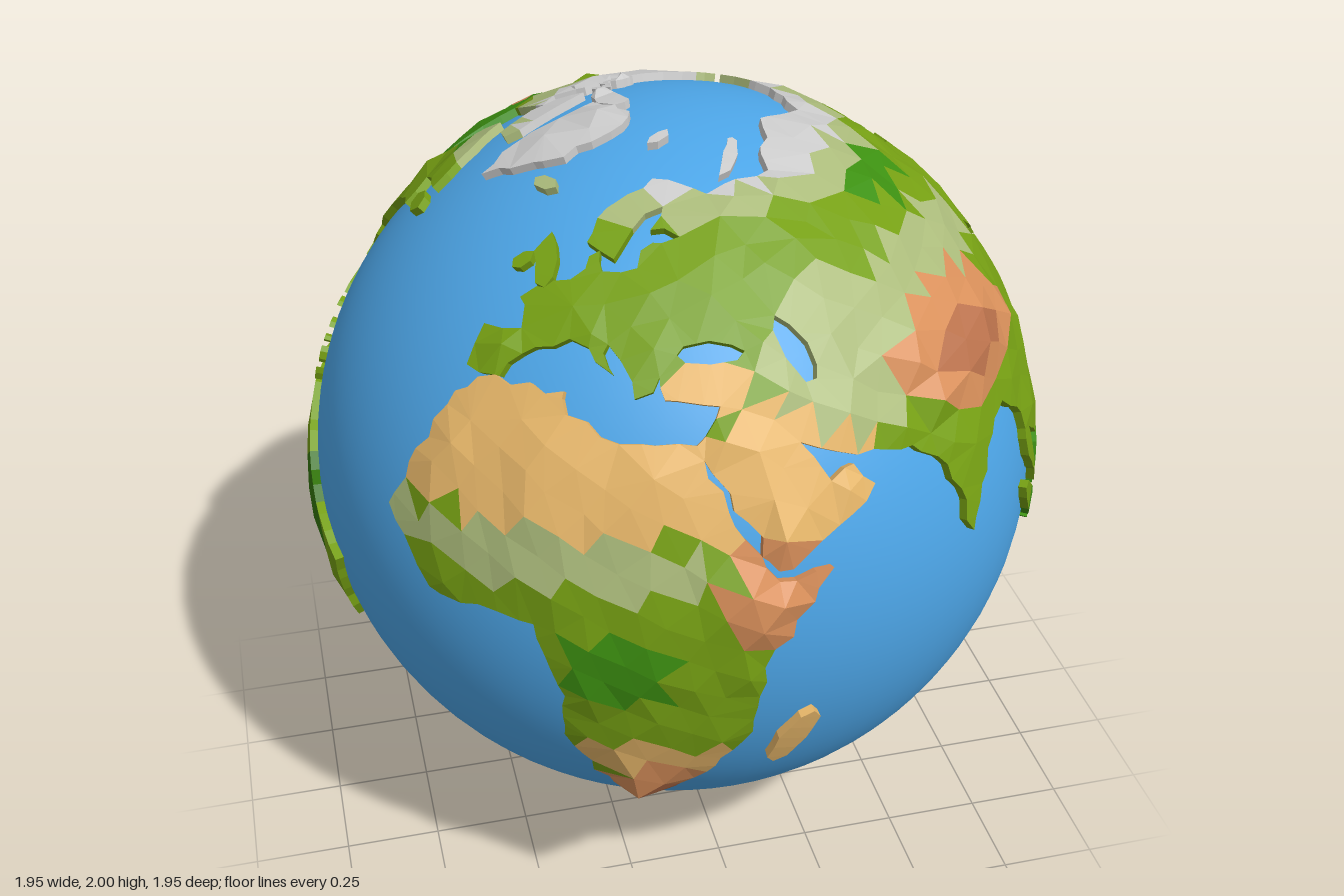
import * as THREE from 'three';
import { ConvexGeometry } from 'three/addons/geometries/ConvexGeometry.js';

const SEA = 0.95, COAST = 0.971, DEG = Math.PI / 180;
const CENTRE = new THREE.Vector3(0, 1.035, -0.035);

// Corners of the large lands as longitude, latitude; the coast between them is roughened by rule
const continents = {
  africa: [-6, 36, 10, 37, 11, 34, 20, 31, 32, 31, 33, 29, 37, 20, 43, 11.5, 51, 12, 41, -2, 40, -15, 35, -24, 27, -34,
    19, -34, 12, -17, 13, -8, 9, 4, -8, 4.5, -17, 14, -10, 31],
  eurasia: [32, 31, 36, 36, 27, 37, 26, 40, 22, 37, 19, 42, 13, 45, 18, 40, 9, 44, 3, 42, -2, 37, -9, 37, -9, 43, -1, 44,
    -4, 48, 8, 54, 10, 57, 12, 54, 20, 55, 23, 59, 30, 60, 22, 61, 25, 65, 17, 61, 14, 56, 6, 58, 6, 62, 20, 70, 40, 67,
    68, 69, 72, 72, 104, 77, 130, 71, 160, 70, 190, 66, 178, 62, 163, 58, 158, 51, 156, 60, 142, 59, 136, 54, 141, 52,
    135, 43, 128, 40, 129, 35, 122, 40, 118, 39, 122, 37, 121, 29, 110, 21, 109, 12, 105, 9, 100, 13, 104, 1, 98, 9, 97, 17,
    91, 22, 87, 21, 80, 14, 77, 8, 73, 20, 67, 25, 57, 26.5, 48, 30, 52, 24, 56, 25.5, 59, 22, 45, 13, 43, 13, 33, 29],
  northAmerica: [-168, 66, -156, 71, -95, 68, -82, 69, -94, 60, -82, 54, -79, 51, -78, 62, -66, 59, -56, 52, -66, 50, -61, 46,
    -70, 43, -75, 36, -81, 31, -80, 25, -84, 30, -97, 28, -97, 20, -91, 18, -87, 21, -84, 15, -82, 9, -77, 8.5, -78, 7,
    -86, 11, -94, 16, -105, 20, -113, 31, -110, 23, -117, 33, -124, 40, -124, 48, -134, 58, -147, 61, -163, 55, -158, 59, -165, 62],
  southAmerica: [-77, 8.5, -72, 12, -62, 10, -50, 1, -35, -6, -41, -22, -48, -26, -58, -35, -69, -51, -66, -55, -74, -52,
    -71, -18, -81, -6, -80, 1, -78, 7],
  australia: [114, -22, 115, -34, 131, -31.5, 140, -38, 148, -38, 153, -29, 146, -18, 142, -11, 140, -17, 136, -12, 130, -12, 122, -18],
  antarctica: [-57, -64, -60, -75, -35, -78, -10, -71, 50, -67, 110, -66, 150, -68, 168, -74, 200, -78, 255, -73, 290, -70],
  greenland: [-44, 60, -54, 69, -72, 78, -35, 83, -18, 80, -23, 70],
  newGuinea: [131, -1, 138, -2, 147, -6, 150, -10, 138, -8, 134, -4],
};

// Long round shapes: longitude, latitude, half length, half width, tilt, all in degrees
const lakes = { blackSea: [35, 43, 5, 1.6, 0], caspianSea: [51, 42, 5, 1.8, 110], greatLakes: [-85, 45, 4.5, 2, -20] };
const islands = {
  madagascar: [47, -19, 7, 2.2, 70], sumatra: [101, -0.5, 8, 1.8, -45], java: [110, -7.5, 5, 0.9, -8],
  borneo: [114, 1, 5, 3.5, 50], sulawesi: [121, -2, 3.5, 1, 80], luzon: [122, 16, 3, 1.2, 100], mindanao: [125, 8, 2, 1.6, 0],
  japan: [138, 37, 7, 1.2, 50], sakhalin: [143, 50, 4, 0.8, 90], greatBritain: [-2, 54, 4, 1.6, 110], ireland: [-8, 53, 1.8, 1.2, 60],
  iceland: [-19, 65, 2.4, 1.3, 0], baffinIsland: [-75, 69, 7, 2.5, -40], victoriaIsland: [-110, 71, 3.5, 1.8, 0],
  ellesmereIsland: [-78, 80, 4.5, 2, 50], svalbard: [17, 79, 2, 1, 60], novayaZemlya: [59, 74, 4.5, 1, 50],
  cuba: [-79, 22, 4.5, 0.8, -18], newfoundland: [-56, 49, 2.2, 1.6, 0], northIsland: [176, -38, 3, 1.2, -60],
  southIsland: [170, -44, 4, 1.1, 45], tasmania: [147, -42, 1.6, 1.3, 0],
};
// Chains of islets: from longitude, latitude to longitude, latitude, and how many
const chains = {
  lesserIslets: [116, -8.5, 129, -7, 5], pacificIslets: [152, -5, 178, -18, 8], northernIslets: [146, 44, 155, 50, 3],
  caribbeanIslets: [-72, 19, -61, 12, 5], arcticIslets: [-124, 73, -90, 78, 8],
};

// Land types: colour and height
const biomes = {
  grass: [0x76a013, 0.978], desert: [0xe6b669, 0.98], outback: [0xc99c5c, 0.984], steppe: [0xabbb7b, 0.979],
  forest: [0x3d9111, 0.98], rainforest: [0x33750b, 0.986], highland: [0xd88f5a, 1.003], peak: [0xb8704a, 1.02],
  ice: [0xc6c6c6, 0.981], iceCap: [0xc6c6c6, 1.026],
};
// Where they lie: longitude, latitude, half width, half height; later patches cover earlier ones
const patches = [
  ['desert', 8, 27, 30, 10], ['desert', 46, 25, 14, 11], ['desert', 25, -21, 16, 4], ['desert', 47, -19, 5, 9],
  ['desert', 34, 38, 8, 3], ['outback', 130, -25, 18, 12], ['steppe', 8, 14, 26, 4], ['steppe', 60, 40, 16, 11],
  ['steppe', 95, 46, 25, 6], ['steppe', -94, 32, 9, 4], ['steppe', -72, 59, 10, 5], ['forest', 21, -2, 8, 6],
  ['forest', 105, 59, 15, 4], ['forest', 112, -2, 13, 6], ['forest', -97, 54, 24, 6], ['rainforest', -58, -6, 13, 9],
  ['highland', 43, 8, 9, 7], ['highland', 26, -29, 10, 6], ['highland', 46, 15, 10, 3], ['highland', 87, 35, 19, 9],
  ['highland', -116, 40, 10, 14], ['highland', -106, 27, 8, 9], ['highland', -130, 55, 8, 7], ['highland', -78, -4, 4, 8],
  ['highland', -69, -20, 5, 13], ['highland', -70, -40, 5, 12], ['peak', 87, 34, 9, 4], ['peak', 25, -30, 5, 3],
  ['ice', -45, 70, 16, 14], ['ice', -69, -54, 8, 2],
];

const toDir = (lon, lat) => new THREE.Vector3().setFromSphericalCoords(1, (90 - lat) * DEG, (lon - 42) * DEG);
const hash = (x) => { const s = Math.sin(x * 12.9898) * 43758.5453; return s - Math.floor(s); };
const noise = (p, n) => hash(p.x * 9.1 + p.y * 5.7 + p.z * 3.3 + n) - 0.5;
const key = (p) => `${p.x.toFixed(5)},${p.y.toFixed(5)},${p.z.toFixed(5)}`;

// Joins corners with short steps, moved a little at random
function coastline(corners, rough) {
  return corners.flatMap((a, i) => {
    const b = corners[(i + 1) % corners.length], steps = Math.ceil(a.angleTo(b) / (3 * DEG));
    return Array.from({ length: steps }, (_, s) => {
      const p = a.clone().lerp(b, s / steps);
      if (s) p.add(new THREE.Vector3(noise(p, 1), noise(p, 2), noise(p, 3)).multiplyScalar(rough));
      return p.normalize();
    });
  });
}

// Corners of an uneven ellipse
function oval([lon, lat, length, width, tilt]) {
  const n = length > 3 ? 8 : 6;
  return Array.from({ length: n }, (_, i) => {
    const a = (i / n) * Math.PI * 2, size = 0.85 + 0.35 * hash(lon + lat + i);
    const x = Math.cos(a) * length * size, y = Math.sin(a) * width * size;
    const c = Math.cos(tilt * DEG), s = Math.sin(tilt * DEG);
    return toDir(lon + (x * c - y * s) / Math.cos(lat * DEG), lat + x * s + y * c);
  });
}

function makeLand(name, corners, rough, water = false) {
  const outline = coastline(corners, rough);
  const middle = outline.reduce((m, p) => m.add(p), new THREE.Vector3()).normalize();
  const reach = Math.max(-0.3, Math.min(...outline.map((p) => p.dot(middle))) - 0.02);
  return { name, outline, middle, reach, water };
}

// True when the outline winds round p
function inside(p, land) {
  if (p.dot(land.middle) < land.reach) return false;
  const u = new THREE.Vector3(0.31, 0.87, 0.39).cross(p).normalize(), v = p.clone().cross(u);
  const angles = land.outline.map((q) => Math.atan2(q.dot(v), q.dot(u)));
  const turn = angles.reduce((sum, a, i) => {
    const d = angles[(i + 1) % angles.length] - a;
    return sum + d - 2 * Math.PI * Math.round(d / (2 * Math.PI));
  }, 0);
  return Math.abs(turn) > Math.PI;
}

function biomeAt(p) {
  const lat = Math.asin(p.y / p.length()) / DEG, lon = Math.atan2(p.x, p.z) / DEG + 42;
  if (lat < -60) return 'iceCap';
  const hit = patches.findLast(([, x, y, w, h]) => {
    const dx = lon - x - 360 * Math.round((lon - x) / 360);
    return Math.hypot(dx / w, (lat - y) / h) < 1;
  });
  return hit ? hit[0] : lat > 67 ? 'ice' : lat > 62 ? 'steppe' : 'grass';
}

export function createModel() {
  const model = new THREE.Group();
  model.name = 'globe';
  const ocean = new THREE.Mesh(new THREE.SphereGeometry(SEA, 72, 48), new THREE.MeshStandardMaterial({ color: 0x4da6e8 }));
  ocean.name = 'ocean';
  ocean.position.copy(CENTRE);
  model.add(ocean);

  const lands = Object.entries(lakes).map(([name, o]) => makeLand(name, oval(o), 0, true));
  for (const [name, list] of Object.entries(continents)) {
    const corners = Array.from({ length: list.length / 2 }, (_, i) => toDir(list[2 * i], list[2 * i + 1]));
    lands.push(makeLand(name, corners, 0.025));
  }
  for (const [name, o] of Object.entries(islands)) lands.push(makeLand(name, oval(o), 0.006));
  for (const [name, [lon0, lat0, lon1, lat1, n]] of Object.entries(chains)) {
    for (let i = 0; i < n; i++) {
      const t = i / (n - 1), lat = lat0 + (lat1 - lat0) * t + 2 * (hash(lon0 + i) - 0.5);
      lands.push(makeLand(name, oval([lon0 + (lon1 - lon0) * t, lat, 0.8 + 0.6 * hash(lat), 0.6, 180 * hash(i)]), 0));
    }
  }
  const landAt = (p) => lands.find((land) => inside(p, land));

  // Coast points, then inland points scattered evenly and a little shaken
  const points = [];
  const addPoint = (p, gap) => { if (points.every((q) => q.dot(p) < Math.cos(gap * DEG))) points.push(p); };
  lands.forEach((land) => land.outline.forEach((p) => addPoint(p, 0.25)));
  const count = 1900;
  for (let i = 0; i < count; i++) {
    const y = 1 - (2 * i + 1) / count, r = Math.sqrt(1 - y * y), a = i * 2.399963;
    const p = new THREE.Vector3(r * Math.cos(a) + (hash(i) - 0.5) * 0.03, y, r * Math.sin(a) + (hash(i + 0.5) - 0.5) * 0.03).normalize();
    if (landAt(p)) addPoint(p, 2.3);
  }

  // The hull of the points joins them into triangles; keep those on land
  const hull = new ConvexGeometry(points).getAttribute('position');
  const faces = [], edges = new Set(), shore = new Set();
  for (let i = 0; i < hull.count; i += 3) {
    const corners = [0, 1, 2].map((k) => new THREE.Vector3().fromBufferAttribute(hull, i + k));
    const mid = corners[0].clone().add(corners[1]).add(corners[2]).normalize();
    const land = landAt(mid);
    if (!land || land.water) continue;
    const keys = corners.map(key);
    keys.forEach((k, n) => edges.add(k + '|' + keys[(n + 1) % 3]));
    faces.push({ corners, keys, land: land.name, biome: biomeAt(mid) });
  }
  const isShore = (f, n) => !edges.has(f.keys[(n + 1) % 3] + '|' + f.keys[n]);
  faces.forEach((f) => f.keys.forEach((k, n) => { if (isShore(f, n)) shore.add(k).add(f.keys[(n + 1) % 3]); }));
  const raise = (p, k) => p.clone().multiplyScalar(shore.has(k) ? COAST : biomes[biomeAt(p)][1] + noise(p, 4) * 0.014);

  // Raised land tops, with cliffs down to the sea along each shore
  const parts = {};
  for (const f of faces) {
    const verts = ((parts[f.land] ??= {})[f.biome] ??= []);
    const top = f.corners.map((p, n) => raise(p, f.keys[n]));
    verts.push(...top);
    top.forEach((a, n) => {
      if (!isShore(f, n)) return;
      const b = top[(n + 1) % 3];
      const a0 = a.clone().setLength(SEA - 0.008), b0 = b.clone().setLength(SEA - 0.008);
      verts.push(a0, b0, b, a0, b, a);
    });
  }
  for (const [landName, kinds] of Object.entries(parts)) {
    const group = new THREE.Group();
    group.name = landName;
    group.position.copy(CENTRE);
    for (const [kind, verts] of Object.entries(kinds)) {
      const geometry = new THREE.BufferGeometry().setFromPoints(verts);
      geometry.computeVertexNormals();
      const mesh = new THREE.Mesh(geometry, new THREE.MeshStandardMaterial({ color: biomes[kind][0], flatShading: true }));
      mesh.name = kind;
      group.add(mesh);
    }
    model.add(group);
  }
  return model;
}
